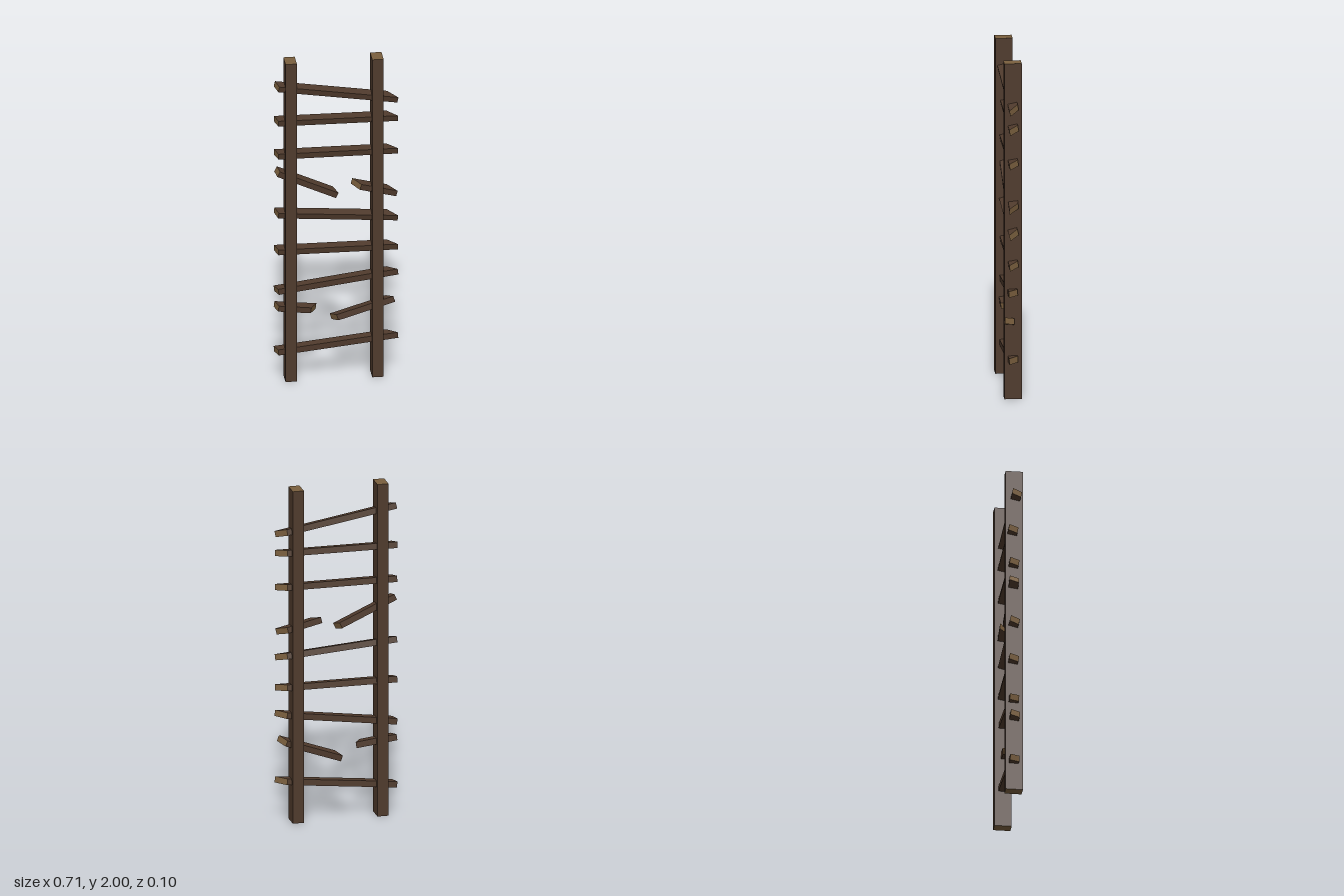
import * as THREE from 'three';

export function createModel() {
  const group = new THREE.Group();
  const bark = new THREE.MeshStandardMaterial({ color: 0x4f3a2c });
  bark.name = 'darkWood';
  const cut = new THREE.MeshStandardMaterial({ color: 0x7a5f3e });
  cut.name = 'cutWood';

  // Upright posts with pale sawn ends
  for (const [name, x] of [['rightPost', -0.264], ['leftPost', 0.235]]) {
    const post = new THREE.Mesh(new THREE.BoxGeometry(0.065, 2, 0.099),
      [bark, bark, cut, cut, bark, bark]);
    post.name = name;
    post.position.set(x, 1, -0.005);
    group.add(post);
  }

  // Rung from a to b with slanted ends: a positive cutA trims the front of the
  // first end, a positive cutB trims the back of the second end
  function addRung(name, [ax, ay, az], [bx, by, bz], roll, cutA = 0.02, cutB = 0.06) {
    const length = Math.hypot(bx - ax, by - ay);
    const geo = new THREE.BoxGeometry(length, 0.036, 0.055);
    const p = geo.attributes.position;
    for (let i = 0; i < p.count; i++) {
      const front = p.getZ(i) > 0;
      let x = p.getX(i);
      if (x < 0) x += front ? Math.max(cutA, 0) : Math.max(-cutA, 0);
      else x -= front ? Math.max(-cutB, 0) : Math.max(cutB, 0);
      p.setX(i, x);
    }
    geo.computeVertexNormals();
    const rung = new THREE.Mesh(geo, [cut, cut, bark, bark, bark, bark]);
    rung.name = name;
    rung.position.set((ax + bx) / 2, (ay + by) / 2, (az + bz) / 2);
    rung.rotation.set(roll, -Math.atan2(bz - az, bx - ax), Math.atan2(by - ay, bx - ax), 'ZYX');
    group.add(rung);
  }

  // Whole rungs: height at each end, depth at each end, roll
  const rungs = [
    [0.175, 0.25, -0.008, -0.002, 0.05],
    [0.555, 0.65, -0.01, 0.0, 0.05],
    [0.808, 0.808, -0.012, -0.004, 0.15],
    [1.045, 0.992, -0.008, -0.004, 0.25],
    [1.412, 1.412, -0.01, -0.004, 0.15],
    [1.618, 1.618, -0.016, -0.004, 0.18],
    [1.847, 1.733, 0.005, -0.005, 0.2],
  ];
  rungs.forEach(([ya, yb, za, zb, roll], i) =>
    addRung('rung' + (i + 1), [-0.353, ya, za], [0.353, yb, zb], roll));

  // Snapped rungs
  addRung('lowerBrokenRungRight', [-0.353, 0.458, -0.005], [-0.112, 0.43, -0.005], 0.1, 0.02, -0.035);
  addRung('lowerBrokenRungLeft', [-0.03, 0.363, -0.008], [0.332, 0.486, 0.02], -0.1, 0.04, 0.045);
  addRung('upperBrokenRungRight', [-0.345, 1.306, -0.01], [0.005, 1.148, -0.008], 0.1, 0.015, 0.03);
  addRung('upperBrokenRungLeft', [0.092, 1.204, -0.01], [0.348, 1.142, -0.004], 0.1, 0.05, 0.06);

  return group;
}
